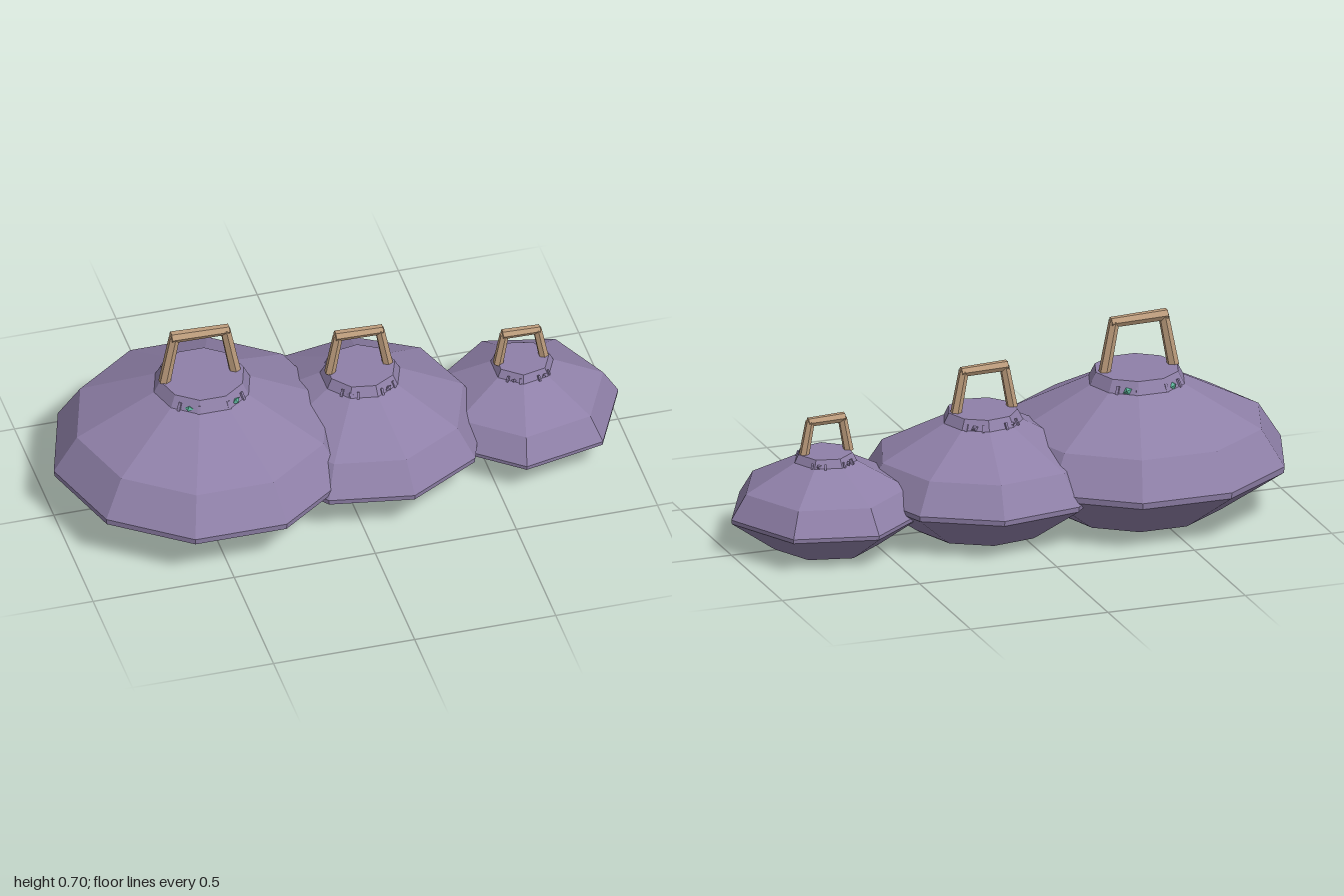
import * as THREE from 'three';

const purple = new THREE.MeshStandardMaterial({ color: 0x8f80a8, flatShading: true });
purple.name = 'dusty purple';
const wood = new THREE.MeshStandardMaterial({ color: 0xbc9c7c, flatShading: true });
wood.name = 'tan wood';
const teal = new THREE.MeshStandardMaterial({ color: 0x5cb39b, flatShading: true });
teal.name = 'teal gem';

// Half-section of the largest body: base, rim, shoulder, neck, flat top
const PROFILE = [
  [0, 0], [0.275, 0], [0.295, 0.012], [0.522, 0.168], [0.525, 0.19],
  [0.443, 0.318], [0.17, 0.457], [0.148, 0.5], [0, 0.5],
];

function addMesh(parent, name, geometry, material) {
  const mesh = new THREE.Mesh(geometry, material);
  mesh.name = name;
  parent.add(mesh);
  return mesh;
}

// Faceted rod between two points in the xy plane
function addRod(parent, name, a, b, radius) {
  const from = new THREE.Vector3(...a, 0), to = new THREE.Vector3(...b, 0);
  const dir = to.clone().sub(from);
  const rod = addMesh(parent, name, new THREE.CylinderGeometry(radius * 0.9, radius, dir.length(), 6), wood);
  rod.position.copy(from).add(to).multiplyScalar(0.5);
  rod.quaternion.setFromUnitVectors(new THREE.Vector3(0, 1, 0), dir.normalize());
}

function createPot({ name, x, sides, s, h, studMaterial }) {
  const pot = new THREE.Group();
  pot.name = name;
  pot.position.x = x;

  // Body, with a corner pointing along +x
  const points = PROFILE.map(([r, y]) => new THREE.Vector2(r * s, y * h));
  addMesh(pot, 'body', new THREE.LatheGeometry(points, sides, Math.PI / 2), purple);

  // Handle: two leaning posts and a crossbar
  const handle = new THREE.Group();
  handle.name = 'handle';
  handle.position.set(-0.008 * s, 0.5 * h, 0);
  const thick = 0.012 + 0.009 * s;
  for (const side of [-1, 1]) {
    addRod(handle, 'handlePost', [side * 0.125 * s, -0.005], [side * 0.09 * s, 0.178 * s], thick);
  }
  addRod(handle, 'handleBar', [-0.102 * s, 0.18 * s], [0.102 * s, 0.174 * s], thick);
  pot.add(handle);

  // Small studs on the neck, two in front and two behind
  for (const sx of [-1, 1]) {
    for (const sz of [-1, 1]) {
      const stud = addMesh(pot, 'neckStud', new THREE.OctahedronGeometry(0.017 * s), studMaterial);
      stud.position.set(sx * 0.083 * s, 0.468 * h, sz * 0.135 * s);
      stud.rotation.set(0.4, Math.atan2(sx * 0.083, sz * 0.135), 0.3);
      stud.scale.set(1, 0.8, 0.7);

      // Slim ridges beside each stud
      for (const offset of [-0.22, 0.22]) {
        const angle = Math.atan2(sx * 0.083, sz * 0.135) + offset;
        const ridge = addMesh(pot, 'neckRidge', new THREE.BoxGeometry(0.01 * s, 0.03 * h, 0.016 * s), purple);
        ridge.position.set(Math.sin(angle) * 0.157 * s, 0.466 * h, Math.cos(angle) * 0.157 * s);
        ridge.rotation.set(-0.4, angle, 0, 'YXZ');
      }
    }
  }
  return pot;
}

export function createModel() {
  const model = new THREE.Group();
  model.name = 'potRow';
  model.add(
    createPot({ name: 'largePot', x: -0.475, sides: 10, s: 1, h: 1, studMaterial: teal }),
    createPot({ name: 'mediumPot', x: 0.087, sides: 9, s: 0.82, h: 0.836, studMaterial: purple }),
    createPot({ name: 'smallPot', x: 0.66, sides: 7, s: 0.648, h: 0.668, studMaterial: purple }),
  );
  return model;
}
